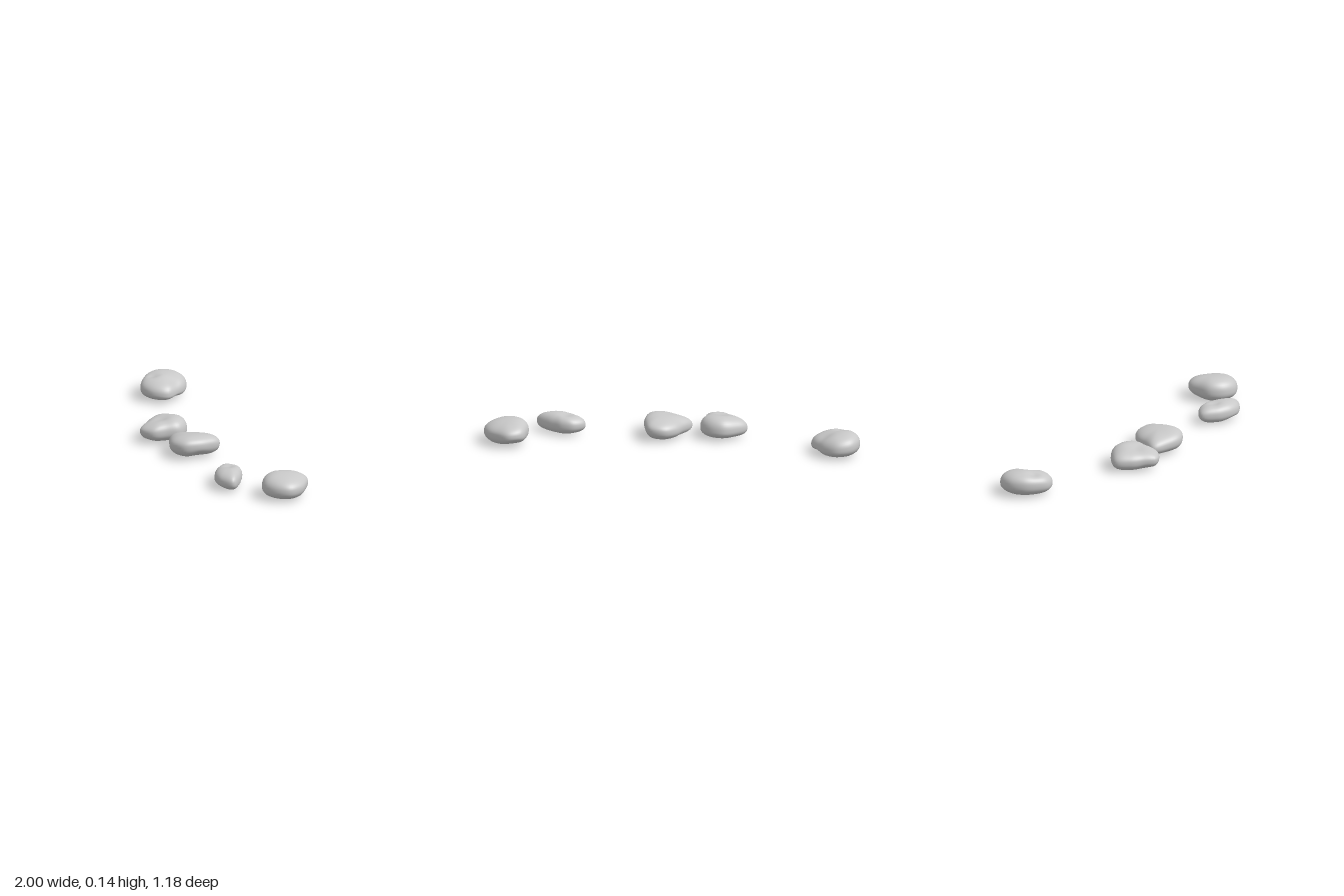
import * as THREE from 'three';

const SEG = 60, RINGS = 24;
const stoneMat = new THREE.MeshStandardMaterial({ color: 0xc8c8c8 });
stoneMat.name = 'pale grey stone';

// Sum of soft round bumps, each [x, z, radius, depth].
const bumps = (list, x, z) => list.reduce((sum, [bx, bz, r, depth]) =>
  sum + depth * Math.exp(-((x - bx) ** 2 + (z - bz) ** 2) / (r * r)), 0);

// Pebble: a plan outline of evenly turned radii shrinks towards a top and a bottom pole.
// top and wide give the crown and girth heights as [middle, slope in x, slope in z].
// dents press into the upper side, hollows into the underside.
function pebble(name, { centre: [cx, cz], radii, top, wide, dents = [], hollows = [] }) {
  const corners = radii.map((r, i) => {
    const a = i / radii.length * Math.PI * 2;
    return new THREE.Vector3(cx + r * Math.cos(a), 0, cz + r * Math.sin(a));
  });
  const rim = new THREE.CatmullRomCurve3(corners, true).getSpacedPoints(SEG).slice(0, SEG);
  const box = new THREE.Box3().setFromPoints(rim);
  const mid = box.getCenter(new THREE.Vector3());
  const size = box.getSize(new THREE.Vector3());
  const pos = [], index = [];

  const addPoint = (x, z, s) => {
    const u = 2 * (x - mid.x) / size.x, v = 2 * (z - mid.z) / size.z;
    const level = ([a, b, c]) => a + b * u + c * v;
    const girth = level(wide);
    const end = s > 0 ? level(top) - bumps(dents, x, z) : bumps(hollows, x, z);
    pos.push(x, girth + (end - girth) * Math.abs(s) ** .85, z);
  };

  // Rings from the underside up, then the two poles
  for (let i = 1; i < RINGS; i++) {
    const phi = Math.PI * (i / RINGS - .5);
    const k = Math.cos(phi) ** .8;
    for (const p of rim) addPoint(cx + (p.x - cx) * k, cz + (p.z - cz) * k, Math.sin(phi));
  }
  const low = pos.length / 3, high = low + 1;
  addPoint(cx, cz, -1);
  addPoint(cx, cz, 1);

  const last = (RINGS - 2) * SEG;
  for (let j = 0; j < SEG; j++) {
    const n = (j + 1) % SEG;
    for (let r = 0; r < last; r += SEG) {
      index.push(r + j, r + SEG + j, r + n, r + n, r + SEG + j, r + SEG + n);
    }
    index.push(low, j, n, high, last + n, last + j);
  }

  const geo = new THREE.BufferGeometry();
  geo.setAttribute('position', new THREE.Float32BufferAttribute(pos, 3));
  geo.setIndex(index);
  geo.computeVertexNormals();
  const mesh = new THREE.Mesh(geo, stoneMat);
  mesh.name = name;
  return mesh;
}

export function createModel() {
  const group = new THREE.Group();
  group.name = 'steppingStones';

  // Back stone, dented at its right edge and front
  group.add(pebble('backStone', {
    centre: [-.87, -.44],
    radii: [.118, .152, .153, .148, .126, .129, .145, .154, .148, .127],
    top: [.136, -.014, -.006], wide: [.06, -.014, 0],
    dents: [[-.79, -.44, .05, .014], [-.91, -.39, .035, .014]],
    hollows: [[-.76, -.42, .05, .015]],
  }));

  // Wedge with a narrow front lobe
  group.add(pebble('wedgeStone', {
    centre: [-.36, .11],
    radii: [.136, .116, .145, .152, .108, .116, .152, .134, .14, .14],
    top: [.13, .018, -.012], wide: [.06, 0, .006],
    dents: [[-.36, .13, .045, .012]],
    hollows: [[-.42, .2, .04, .012]],
  }));

  // Three-cornered middle stone
  group.add(pebble('middleStone', {
    centre: [-.03, .2],
    radii: [.118, .118, .142, .148, .145, .176, .117, .122, .144, .15],
    top: [.125, .013, .012], wide: [.065, .012, .008],
    hollows: [[.07, .25, .06, .02]],
  }));

  // Small stone with two lobes
  group.add(pebble('smallStone', {
    centre: [.505, .475],
    radii: [.09, .15, .118, .092, .084, .1, .147, .121, .088, .074],
    top: [.116, .004, 0], wide: [.055, 0, 0],
    dents: [[.48, .45, .035, .012]],
    hollows: [[.5, .55, .05, .015]],
  }));

  // Plump end stone, raised under its back tip
  group.add(pebble('endStone', {
    centre: [.87, .38],
    radii: [.126, .142, .141, .146, .138, .13, .119, .142, .143, .119],
    top: [.139, -.014, .006], wide: [.068, 0, -.004],
    hollows: [[.87, .25, .07, .026]],
  }));
  return group;
}
